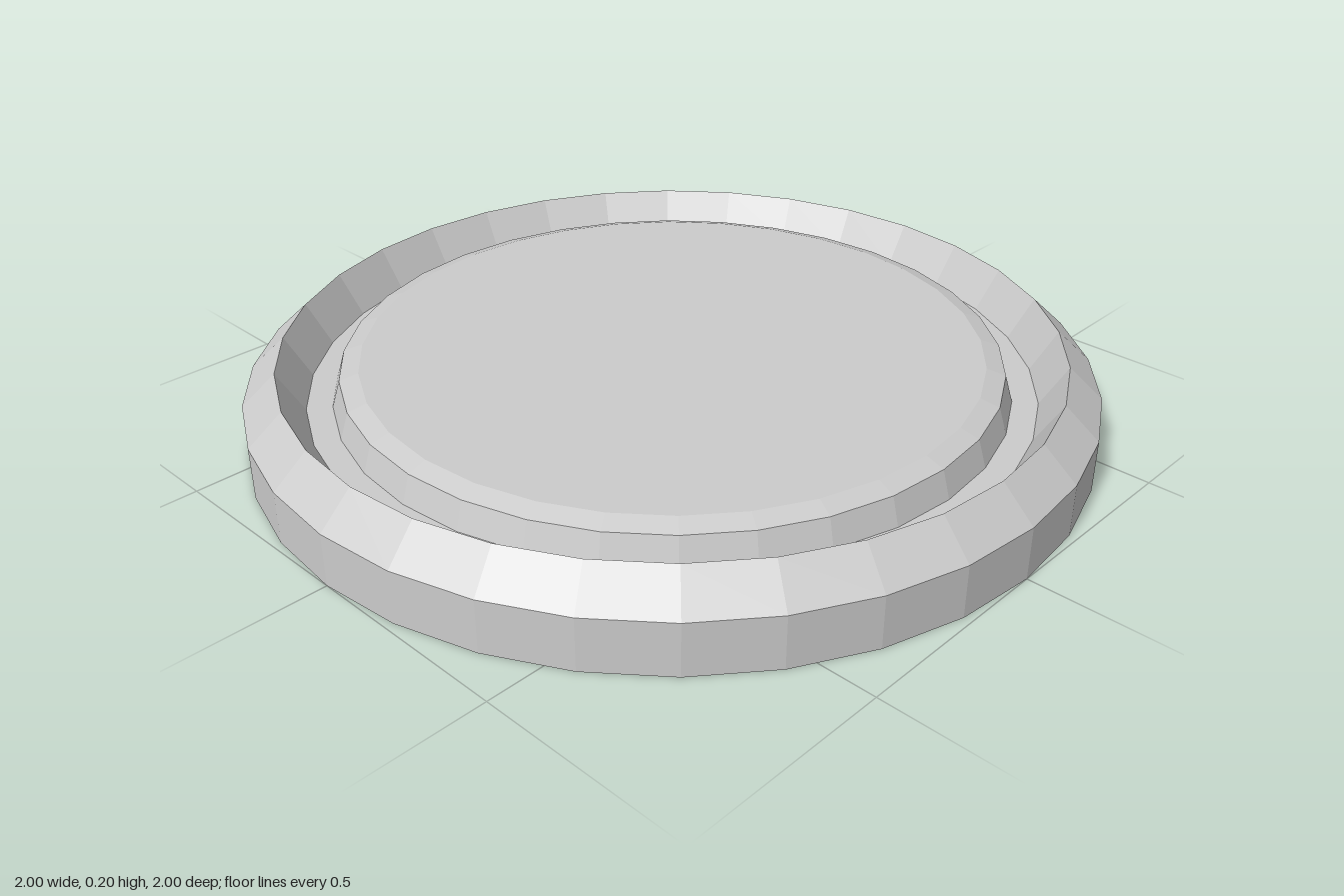
import * as THREE from 'three';

const SIDES = 32;
const material = new THREE.MeshStandardMaterial({ color: 0xcccccc, flatShading: true });

// Turned part from [radius, height] pairs, listed from the bottom outwards and up
function turned(name, profile) {
  const points = profile.map(([r, y]) => new THREE.Vector2(r, y));
  const mesh = new THREE.Mesh(new THREE.LatheGeometry(points, SIDES), material);
  mesh.name = name;
  return mesh;
}

export function createModel() {
  const group = new THREE.Group();
  group.name = 'roundDish';

  // Flat base, chamfered outer rim, sloped inner wall and groove floor
  group.add(turned('outerRim', [
    [0, 0], [1, 0], [1, 0.125], [0.92, 0.2], [0.86, 0.1], [0.8, 0.1],
  ]));

  // Raised centre plate with a shallow bevel
  group.add(turned('centrePlate', [
    [0.8, 0.1], [0.78, 0.165], [0.735, 0.18], [0, 0.18],
  ]));

  return group;
}
